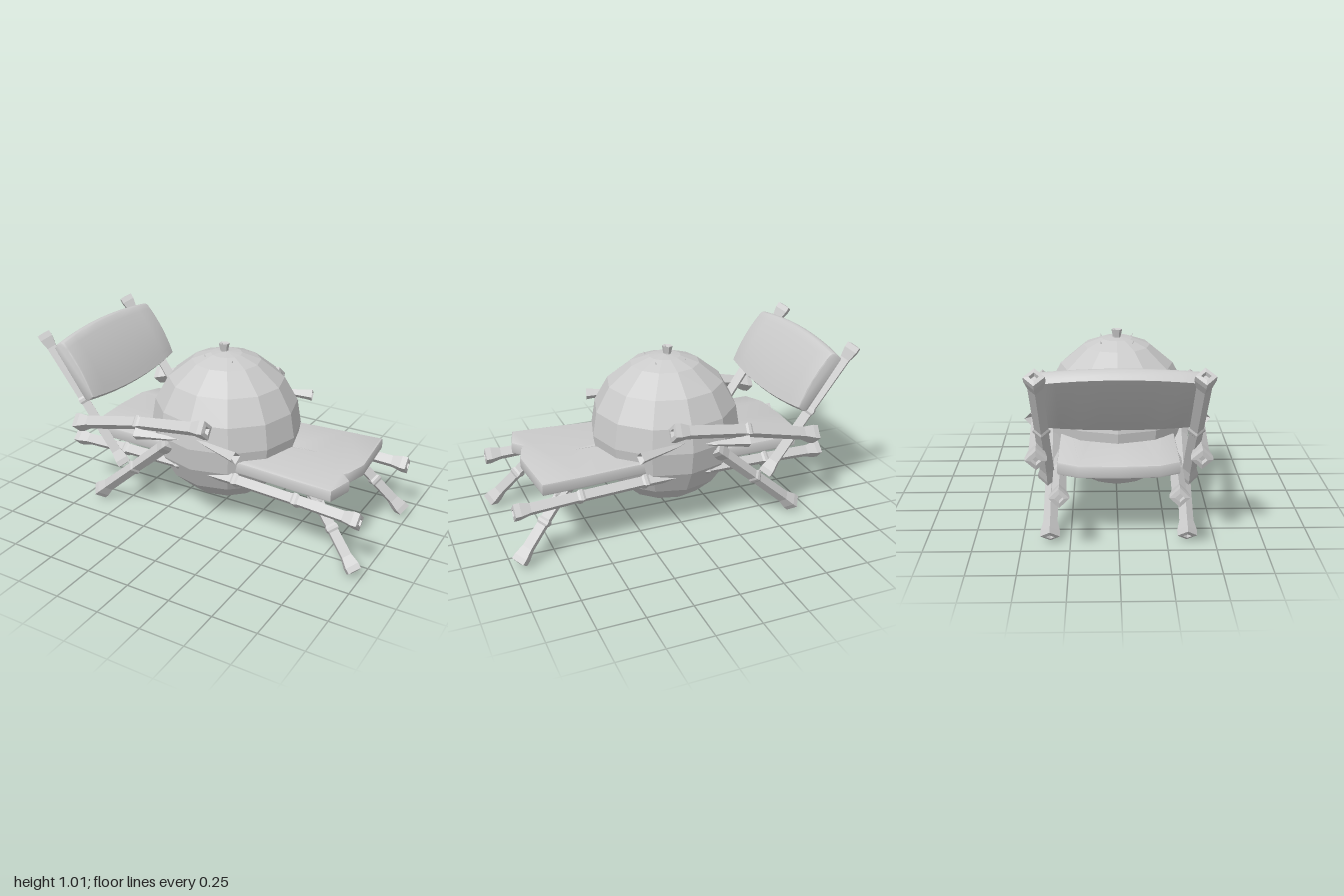
import * as THREE from 'three';
import { toCreasedNormals } from 'three/addons/utils/BufferGeometryUtils.js';

const flat = new THREE.MeshStandardMaterial({ color: 0xcccccc, flatShading: true });
const smooth = new THREE.MeshStandardMaterial({ color: 0xcccccc });
const v2 = (x, y) => new THREE.Vector2(x, y);
const v3 = (p) => new THREE.Vector3(...p);

// Put a geometry built along +y between two points, one corner facing up.
function span(geometry, from, to) {
  const y = to.clone().sub(from).normalize();
  const hint = Math.abs(y.z) > 0.9 ? new THREE.Vector3(0, 1, 0) : new THREE.Vector3(0, 0, 1);
  const x = new THREE.Vector3().crossVectors(y, hint).normalize();
  const z = new THREE.Vector3().crossVectors(x, y);
  geometry.applyMatrix4(new THREE.Matrix4().makeBasis(x, y, z).setPosition(from));
  return geometry;
}

// Move every vertex of a geometry by a rule.
function warp(geometry, rule) {
  const pos = geometry.attributes.position, p = new THREE.Vector3();
  for (let i = 0; i < pos.count; i++) {
    rule(p.fromBufferAttribute(pos, i), i);
    pos.setXYZ(i, p.x, p.y, p.z);
  }
  return geometry;
}

// Four-sided cane pole: flared, hollowed ends and raised joints; bend lifts its middle.
function pole(a, b, bend = 0, r = 0.037, joints = 1) {
  const from = v3(a), to = v3(b), len = from.distanceTo(to), R = r * 1.38;
  const pts = [v2(0, 0.02), v2(r * 0.5, 0.02), v2(r * 0.65, 0), v2(R, 0.004), v2(R, 0.035), v2(r, 0.09)];
  for (let i = 1; i <= joints; i++) {
    const y = (len * i) / (joints + 1);
    pts.push(v2(r * 0.95, y - 0.02), v2(r * 1.18, y - 0.008), v2(r * 1.18, y + 0.008), v2(r * 0.95, y + 0.02));
  }
  for (const p of pts.slice(0, 6).reverse()) pts.push(v2(p.x, len - p.y));
  const g = new THREE.LatheGeometry(pts, 4);
  const heights = [];
  warp(g, (p) => heights.push(p.y / len));
  return warp(span(g, from, to), (p, i) => { p.y += bend * Math.sin(Math.PI * heights[i]); });
}

// Broken sliver of cane: a spike with a jagged butt end.
function splinter(tip, butt) {
  const len = v3(tip).distanceTo(v3(butt));
  const g = new THREE.LatheGeometry(
    [v2(0, 0), v2(0.014, len * 0.25), v2(0.03, len * 0.85), v2(0.036, len), v2(0, len - 0.04)], 4);
  return span(g, v3(tip), v3(butt));
}

export function createModel() {
  const model = new THREE.Group();
  const add = (name, geometry, material = flat) => {
    const mesh = new THREE.Mesh(geometry, material);
    mesh.name = name;
    model.add(mesh);
    return mesh;
  };

  // Faceted round shell
  const R = 0.428, cy = 0.515;
  const rings = [180, 163, 148, 128, 108, 90, 71, 50, 27, 12, 0].map((d) => {
    const a = THREE.MathUtils.degToRad(d);
    return v2(R * Math.sin(a), cy + R * Math.cos(a));
  });
  rings[0].x = rings.at(-1).x = 0;
  add('shell', new THREE.LatheGeometry(rings, 12)).scale.z = 0.955;

  // Hollow stub on the crown, ringed by small thorns
  add('stem', new THREE.LatheGeometry(
    [v2(0.024, 0.91), v2(0.022, 0.945), v2(0.03, 0.985), v2(0.016, 0.98), v2(0, 0.95)], 6)).rotation.z = 0.015;
  for (const x of [-1, 1]) for (const z of [-1, 1]) {
    const thorn = add('thorn', new THREE.ConeGeometry(0.008, 0.035, 4));
    thorn.position.set(x * 0.085, 0.92, z * 0.085);
    thorn.rotation.set(z * 0.3, 0, -x * 0.3);
  }

  // Seat slab, flared towards the foot, with a crack and a chipped end
  const plan = new THREE.Shape([
    v2(-0.67, -0.3), v2(0.3, -0.3), v2(0.6, -0.325), v2(0.8, -0.335), v2(0.835, -0.2), v2(0.78, -0.14),
    v2(0.8, -0.12), v2(0.835, 0), v2(0.805, 0.335), v2(0.6, 0.325), v2(0.3, 0.3), v2(-0.67, 0.3),
    v2(-0.72, 0.2), v2(-0.73, 0), v2(-0.72, -0.2)]);
  plan.holes.push(new THREE.Path([v2(0.4, -0.002), v2(0.57, 0.012), v2(0.4, 0.018)]));
  const seat = new THREE.ExtrudeGeometry(plan, {
    depth: 0.045, bevelThickness: 0.012, bevelSize: 0.01, bevelSegments: 2 });
  seat.rotateX(-Math.PI / 2).translate(0, 0.402, 0);
  warp(seat, (p) => { p.y += 0.012 * (Math.abs(p.x) - 0.6); });
  add('seat', toCreasedNormals(seat, 0.6), smooth);

  // Back cushion: gently bulging side profile swept across the chair, shorter at its ends
  const side = new THREE.Shape();
  side.moveTo(-0.2, -0.04);
  side.lineTo(0.19, -0.04);
  side.quadraticCurveTo(0.21, -0.03, 0.2, 0.01);
  side.quadraticCurveTo(0, 0.05, -0.19, 0.025);
  side.quadraticCurveTo(-0.215, 0.01, -0.2, -0.04);
  const cushion = new THREE.ExtrudeGeometry(side, {
    depth: 0.79, steps: 8, curveSegments: 10, bevelThickness: 0.012, bevelSize: 0.008, bevelSegments: 2 });
  cushion.translate(0, 0, -0.395);
  warp(cushion, (p) => { p.x *= 1 - 0.95 * p.z * p.z; });
  // Lean it back with the bulge facing the seat
  cushion.rotateZ(-0.955);
  add('backCushion', toCreasedNormals(cushion, 0.6), smooth).position.set(-0.74, 0.81, 0);

  // Cane frame, mirrored front to back
  for (const s of [1, -1]) {
    add('backPost', pole([-0.46, 0.285, 0.37 * s], [-0.965, 0.99, 0.39 * s]));
    add('sideRail', pole([-0.845, 0.335, 0.295 * s], [0.975, 0.33, 0.345 * s], 0.025, 0.037, 4));
    add('headLeg', pole([-0.665, 0.04, 0.355 * s], [-0.15, 0.495, 0.35 * s]));
    add('footLeg', pole([0.965, 0.035, 0.355 * s], [0.64, 0.4, 0.24 * s]));
    add('armrest', pole([-0.75, 0.495, 0.41 * s], [0.13, 0.665, 0.425 * s], 0.02, 0.04));
    add('splinter', splinter([-0.05, 0.565, 0.42 * s], [-0.3, 0.56, 0.465 * s]));
    add('splinter', splinter([0.04, 0.575, 0.39 * s], [0.32, 0.57, 0.46 * s]));
  }

  // Bar joining the foot legs
  add('crossBar', pole([0.69, 0.345, -0.28], [0.69, 0.345, 0.28], 0, 0.032, 2));
  return model;
}
